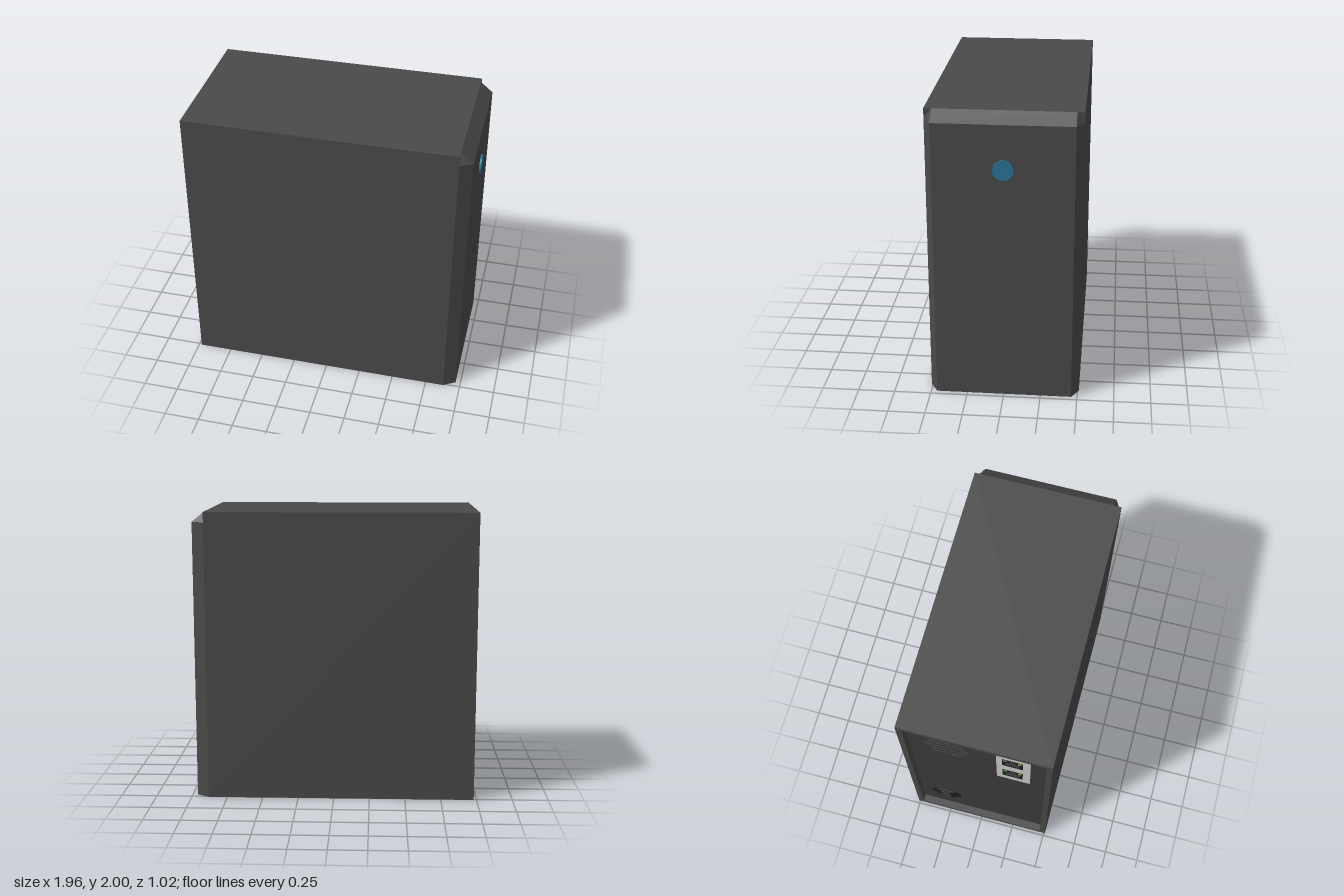
import * as THREE from 'three';
import { ConvexGeometry } from 'three/addons/geometries/ConvexGeometry.js';

const mat = (color) => new THREE.MeshStandardMaterial({ color });

function add(parent, name, geometry, material, x = 0, y = 0, z = 0) {
  const mesh = new THREE.Mesh(geometry, material);
  mesh.name = name;
  mesh.position.set(x, y, z);
  parent.add(mesh);
  return mesh;
}

// Closed outline from [x, y] pairs, shifted by (dx, dy)
const points = (pairs, dx = 0, dy = 0) => pairs.map(([x, y]) => new THREE.Vector2(x + dx, y + dy));
const rect = (x0, y0, x1, y1) => points([[x0, y0], [x1, y0], [x1, y1], [x0, y1]]);

// Plate with holes, extruded along +z
function plate(outline, holes, depth) {
  const shape = new THREE.Shape(outline);
  shape.holes = holes.map((h) => new THREE.Path(h));
  return new THREE.ExtrudeGeometry(shape, { depth, bevelEnabled: false });
}

function circle(cx, cy, r, sides) {
  return Array.from({ length: sides }, (_, i) => {
    const a = (i / sides) * Math.PI * 2;
    return new THREE.Vector2(cx + r * Math.cos(a), cy + r * Math.sin(a));
  });
}

export function createModel() {
  const model = new THREE.Group();
  model.name = 'computerTower';
  const caseMat = mat(0x4a4a4a);
  const panelMat = mat(0x3c3c3c);
  const black = mat(0x1c1c1c);
  const metal = mat(0xcccccc);
  const gold = mat(0xb89a3c);
  const W = 0.51, rim = 0.04;

  // Front bezel with chamfered top and sides
  const bezel = [];
  for (const s of [-1, 1]) {
    for (const [x, y, z] of [[0.965, 0, 0.46], [0.965, 1.93, 0.46], [0.88, 0, W], [0.88, 1.93, W], [0.88, 2, 0.46]]) {
      bezel.push(new THREE.Vector3(x, y, z * s));
    }
  }
  add(model, 'frontBezel', new ConvexGeometry(bezel), caseMat);

  // Power button
  const button = add(model, 'powerButton', new THREE.CylinderGeometry(0.068, 0.068, 0.03, 40), mat(0x2b7598), 0.962, 1.63, 0);
  button.rotation.z = -Math.PI / 2;

  // Rear group: local x runs along world z, local z points out of the back
  const rear = new THREE.Group();
  rear.name = 'rear';
  rear.position.x = -0.93;
  rear.rotation.y = -Math.PI / 2;
  model.add(rear);

  // Outer case shell, open at the back with a short rim
  add(rear, 'caseShell', plate(rect(-W, 0, W, 2), [rect(-W + rim, rim, W - rim, 2 - rim)], 1.86), caseMat, 0, 0, -1.81);

  // Vent holes in a hexagonal pattern inside a circle
  const vent = { x: -0.21, y: 1.63, r: 0.17 };
  const pitch = 0.032;
  const holes = [];
  for (let row = -6; row <= 6; row++) {
    for (let col = -6; col <= 6; col++) {
      const x = (col + (row % 2 ? 0.5 : 0)) * pitch;
      const y = row * pitch * 0.866;
      if (Math.hypot(x, y) < vent.r - 0.01) holes.push(circle(vent.x + x, vent.y + y, 0.0125, 6));
    }
  }

  // Recessed back panel with vent, port and inlet openings
  const ports = [[0.24, 1.68], [0.24, 1.43]];
  const portHoles = ports.map(([x, y]) => rect(x - 0.07, y - 0.07, x + 0.07, y + 0.07));
  const inlet = { x: -0.28, y: 0.35 };
  const inletHole = rect(inlet.x - 0.05, inlet.y - 0.035, inlet.x + 0.05, inlet.y + 0.035);
  add(rear, 'backPanel',
    plate(rect(-W + rim, rim, W - rim, 2 - rim), [...holes, ...portHoles, inletHole], 0.015), panelMat, 0, 0, -0.015);
  add(rear, 'ventBacking', new THREE.CircleGeometry(0.19, 40), black, vent.x, vent.y, -0.06);

  // Light metal plate around the ports
  add(rear, 'portPlate', plate(rect(0.13, 1.28, 0.36, 1.83), portHoles, 0.008), metal);

  // Network sockets
  const opening = [[-0.05, -0.05], [0.05, -0.05], [0.05, 0.02], [0.028, 0.02], [0.028, 0.038],
    [0.016, 0.038], [0.016, 0.052], [-0.016, 0.052], [-0.016, 0.038], [-0.028, 0.038], [-0.028, 0.02], [-0.05, 0.02]];
  for (const [x, y] of ports) {
    const socket = new THREE.Group();
    socket.name = 'networkSocket';
    socket.position.set(x, y, 0);
    rear.add(socket);
    add(socket, 'socketHousing', plate(rect(-0.07, -0.07, 0.07, 0.07), [points(opening)], 0.11), black, 0, 0, -0.1);
    add(socket, 'socketBack', new THREE.BoxGeometry(0.14, 0.14, 0.01), mat(0x555555), 0, 0, -0.1);
    for (let i = 0; i < 8; i++) {
      add(socket, 'contact', new THREE.BoxGeometry(0.005, 0.006, 0.07), gold, -0.035 + i * 0.01, -0.042, -0.06);
    }
    add(socket, 'greenLight', new THREE.BoxGeometry(0.025, 0.018, 0.006), mat(0x4f8f3a), -0.05, 0.052, 0.011);
    add(socket, 'amberLight', new THREE.BoxGeometry(0.025, 0.018, 0.006), mat(0xb8962e), 0.05, 0.052, 0.011);
  }

  // Mains inlet: eared flange, raised collar and three pins
  const power = new THREE.Group();
  power.name = 'powerInlet';
  power.position.set(inlet.x, inlet.y, 0);
  rear.add(power);
  const cavity = points([[-0.045, -0.03], [0.045, -0.03], [0.045, 0.012], [0.028, 0.03], [-0.028, 0.03], [-0.045, 0.012]]);
  const collar = points([[-0.058, -0.043], [0.058, -0.043], [0.058, 0.018], [0.034, 0.043], [-0.034, 0.043], [-0.058, 0.018]]);
  const flange = points([[-0.11, -0.018], [-0.06, -0.055], [0.06, -0.055], [0.11, -0.018],
    [0.11, 0.018], [0.06, 0.055], [-0.06, 0.055], [-0.11, 0.018]]);
  add(power, 'inletFlange', plate(flange, [cavity, circle(-0.085, 0, 0.01, 12), circle(0.085, 0, 0.01, 12)], 0.015), black);
  add(power, 'inletCollar', plate(collar, [cavity], 0.025), black);
  add(power, 'inletBack', new THREE.BoxGeometry(0.1, 0.07, 0.01), black, 0, 0, -0.06);
  for (const [x, y] of [[-0.024, -0.008], [0, 0.008], [0.024, -0.008]]) {
    add(power, 'pin', new THREE.BoxGeometry(0.007, 0.018, 0.07), metal, x, y, -0.02);
  }
  return model;
}
